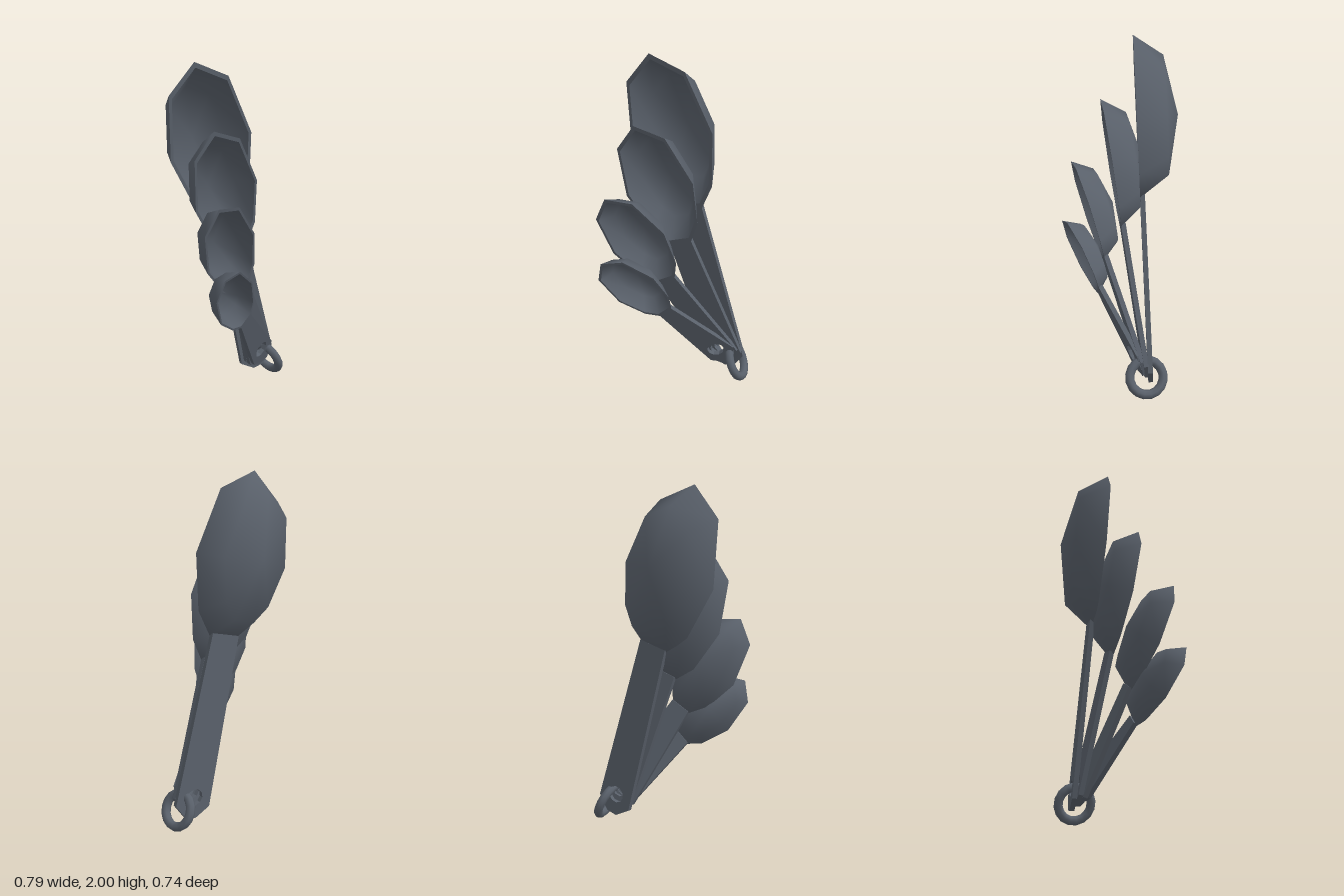
import * as THREE from 'three';
import { mergeVertices, mergeGeometries } from 'three/addons/utils/BufferGeometryUtils.js';

const metal = new THREE.MeshStandardMaterial({ color: 0x59606a });
metal.name = 'dark grey metal';

// Half outline of the largest bowl: distance from the tip, half width
const HALF = [[0.135, 0.2], [0.5, 0.28], [0.81, 0.195], [0.94, 0.09]];
const CENTRE = 0.47;
const DEPTH = 0.24;

// Tip of the bowl, end of the handle, sideways direction, bowl scale
const SPOONS = [
  { name: 'largestSpoon', tip: [-0.24, 2.0, -0.07], end: [0.25, 0.06, -0.25], side: [0.53, 0.14, -0.08], scale: 1 },
  { name: 'largeSpoon', tip: [-0.2, 1.63, 0.115], end: [0.26, 0.09, -0.23], side: [0.93, 0.31, -0.21], scale: 0.81 },
  { name: 'smallSpoon', tip: [-0.255, 1.235, 0.31], end: [0.27, 0.1, -0.22], side: [0.87, 0.425, -0.25], scale: 0.68 },
  { name: 'smallestSpoon', tip: [-0.245, 0.855, 0.37], end: [0.28, 0.13, -0.21], side: [0.8, 0.53, -0.29], scale: 0.55 },
];

// Smooth surface through a list of closed rings
function skin(rows) {
  const n = rows[0].length;
  const index = [];
  for (let i = 0; i < rows.length - 1; i++) {
    for (let j = 0; j < n; j++) {
      const k = (j + 1) % n;
      const a = i * n + j, b = i * n + k, c = (i + 1) * n + k, d = (i + 1) * n + j;
      if (i > 0 || rows[0].pole !== true) index.push(a, b, c);
      else { index.push(a, c, d); continue; }
      if (rows[i + 1].pole !== true) index.push(a, c, d);
    }
  }
  let g = new THREE.BufferGeometry();
  g.setAttribute('position', new THREE.Float32BufferAttribute(rows.flat(2), 3));
  g.setIndex(index);
  g = mergeVertices(g, 1e-5);
  g.computeVertexNormals();
  return g;
}

// Faceted double-walled bowl, open towards +z, with its tip at the origin
function bowlGeometry(scale) {
  const outline = [
    [0, 0],
    ...HALF.map(([s, w]) => [-w, s]),
    ...[...HALF].reverse().map(([s, w]) => [w, s]),
  ];
  const ring = (f, z) => {
    const row = outline.map(([x, s]) => [x * f * scale, -(CENTRE + (s - CENTRE) * f) * scale, z * scale]);
    row.pole = f === 0;
    return row;
  };
  const outer = ring(1, 0), inner = ring(0.93, 0);
  return mergeGeometries([
    skin([ring(0, -DEPTH), ring(0.74, -DEPTH * 0.71), outer]),
    skin([outer, inner]),
    skin([inner, ring(0.68, -DEPTH * 0.65), ring(0, -DEPTH * 0.92)]),
  ]);
}

// Flat tapering handle with a blunt point and an oval hole
function handleGeometry(scale, length) {
  const thick = 0.028;
  const top = -0.92 * scale, neck = 0.09 * scale, half = 0.075 + 0.04 * scale;
  const shape = new THREE.Shape();
  shape.moveTo(-neck, top);
  shape.lineTo(-half, -length + 0.07);
  shape.lineTo(-0.035, -length);
  shape.lineTo(0.035, -length);
  shape.lineTo(half, -length + 0.07);
  shape.lineTo(neck, top);
  shape.closePath();
  const hole = new THREE.Path();
  hole.absellipse(0, -length + 0.125, 0.055, 0.05, 0, Math.PI * 2, true);
  shape.holes.push(hole);
  const g = new THREE.ExtrudeGeometry(shape, { depth: thick, bevelEnabled: false, curveSegments: 5 });
  return g.translate(0, 0, -thick);
}

function addMesh(parent, name, geometry) {
  const mesh = new THREE.Mesh(geometry, metal);
  mesh.name = name;
  parent.add(mesh);
  return mesh;
}

function makeSpoon({ name, tip, end, side, scale }) {
  const spoon = new THREE.Group();
  spoon.name = name;
  const tipPoint = new THREE.Vector3(...tip);
  const along = tipPoint.clone().sub(new THREE.Vector3(...end));
  const length = along.length();
  along.normalize();
  const across = new THREE.Vector3(...side);
  across.addScaledVector(along, -across.dot(along)).normalize();
  const facing = across.clone().cross(along);
  spoon.quaternion.setFromRotationMatrix(new THREE.Matrix4().makeBasis(across, along, facing));
  spoon.position.copy(tipPoint);
  addMesh(spoon, 'bowl', bowlGeometry(scale));
  addMesh(spoon, 'handle', handleGeometry(scale, length));
  return spoon;
}

export function createModel() {
  const model = new THREE.Group();
  model.name = 'measuringSpoons';
  SPOONS.forEach((s) => model.add(makeSpoon(s)));

  // Ring through the handle holes
  const ring = addMesh(model, 'keeperRing', new THREE.TorusGeometry(0.098, 0.027, 8, 16));
  ring.quaternion.setFromUnitVectors(
    new THREE.Vector3(0, 0, 1),
    new THREE.Vector3(1, 0.5, -0.35).normalize(),
  );
  ring.position.set(0.31, 0.115, -0.247);
  return model;
}
